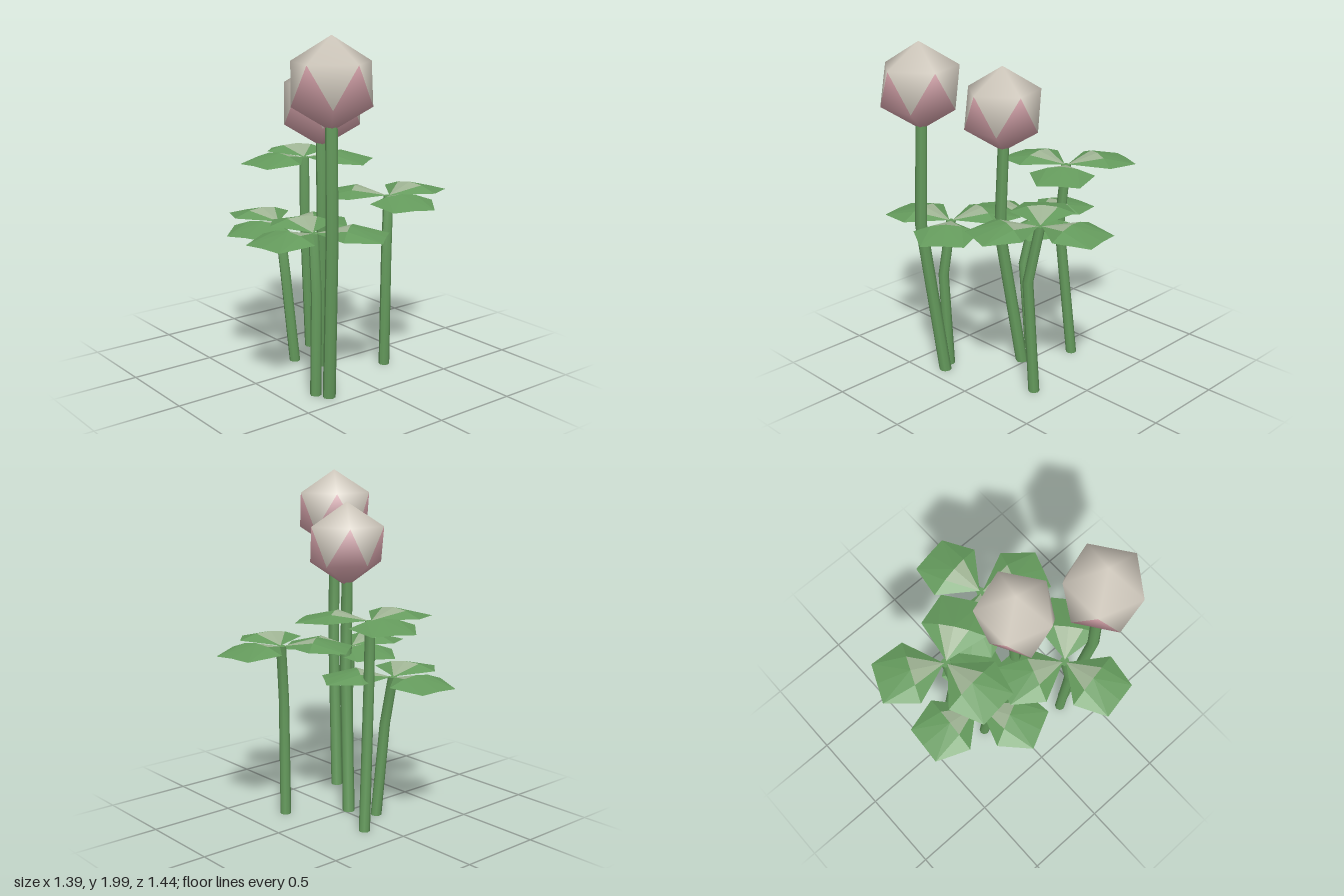
import * as THREE from 'three';

const mat = (name, color, side = THREE.FrontSide) => {
  const m = new THREE.MeshStandardMaterial({ color, side });
  m.name = name;
  return m;
};

function buildGeometry(points, faces) {
  const g = new THREE.BufferGeometry();
  g.setAttribute('position', new THREE.Float32BufferAttribute(points.flat(), 3));
  g.setIndex(faces.flat());
  return g;
}

// Bent stem: an open-ended cylinder whose rings are moved onto base, bend and top
function stemGeometry(path, r) {
  const g = new THREE.CylinderGeometry(r * 0.9, r, 1, 8, 2);
  const p = g.attributes.position;
  for (let i = 0; i < p.count; i++) {
    const [x, y, z] = path[Math.round((p.getY(i) + 0.5) * 2)];
    p.setXYZ(i, p.getX(i) + x, y, p.getZ(i) + z);
  }
  g.computeVertexNormals();
  return g;
}

// Folded leaflet pointing along +x, with a pale patch beside the stem
function leafletGeometries() {
  const hub = [0.01, 0, 0], ridge = [0.2, 0.05, 0], tip = [0.395, -0.003, 0];
  const blade = [], patch = [];
  for (const s of [1, -1]) {
    const inner = [0.2, 0.04, 0.087 * s];
    const side = [0.198, 0.005, 0.187 * s];
    const corner = [0.395, -0.008, 0.12 * s];
    const add = (list, a, b, c) => list.push(...(s > 0 ? [a, b, c] : [a, c, b]));
    add(patch, hub, inner, ridge);
    add(blade, hub, side, inner);
    add(blade, inner, side, corner);
    add(blade, inner, corner, ridge);
    add(blade, ridge, corner, tip);
  }
  return [blade, patch].map((list) => {
    const g = buildGeometry(list, list.map((_, i) => i));
    g.computeVertexNormals();
    return g;
  });
}

// Twenty-sided bud: pink lower petals reach up between the white upper ones
function budGeometry(inset) {
  const R = 0.245, ring = R * 0.894, h = R * 0.447;
  const pts = [[0, R, 0], [0, -R, 0]];
  for (let i = 0; i < 5; i++) {
    const a = (i * 2 * Math.PI) / 5, b = a + Math.PI / 5;
    const r = i === 2 ? ring - inset : ring;
    pts.push([ring * Math.cos(a), h, ring * Math.sin(a)]);
    pts.push([r * Math.cos(b), -h, r * Math.sin(b)]);
  }
  const white = [], pink = [];
  for (let i = 0; i < 5; i++) {
    const j = (i + 1) % 5, prev = (i + 4) % 5;
    const up = 2 + i * 2, upNext = 2 + j * 2, low = 3 + i * 2, lowPrev = 3 + prev * 2;
    white.push([0, upNext, up], [up, upNext, low]);
    pink.push([1, lowPrev, low], [up, low, lowPrev]);
  }
  const g = buildGeometry(pts, [...white, ...pink]);
  g.addGroup(0, 30, 0);
  g.addGroup(30, 30, 1);
  g.computeVertexNormals();
  return g;
}

export function createModel() {
  const model = new THREE.Group();
  model.name = 'cloverPatch';
  const green = mat('stemGreen', 0x649a5c);
  const leafGreen = mat('leafGreen', 0x649a5c, THREE.DoubleSide);
  const paleGreen = mat('paleLeafGreen', 0x9fb494, THREE.DoubleSide);
  const white = mat('petalWhite', 0xd3ccc0);
  const pink = mat('petalPink', 0xcb9ba2);

  const add = (parent, name, geometry, material) => {
    const m = new THREE.Mesh(geometry, material);
    m.name = name;
    parent.add(m);
    return m;
  };

  // Leaf plants: stem path (base, bend, top) and direction of the first leaflet
  const [bladeGeo, patchGeo] = leafletGeometries();
  const plants = [
    { path: [[-0.295, 0.01, -0.11], [-0.25, 0.85, -0.04], [-0.28, 1.22, -0.06]], angle: 84 },
    { path: [[-0.155, 0.01, 0.11], [-0.16, 0.56, 0.17], [-0.24, 0.86, 0.155]], angle: 64 },
    { path: [[0.215, 0.01, -0.28], [0.245, 0.7, -0.26], [0.2, 1.035, -0.31]], angle: 20 },
    { path: [[0.33, 0.01, 0.32], [0.35, 0.6, 0.33], [0.3, 0.93, 0.31]], angle: 79 },
  ];
  for (const { path, angle } of plants) {
    const plant = new THREE.Group();
    plant.name = 'leafPlant';
    model.add(plant);
    add(plant, 'leafStem', stemGeometry(path, 0.032), green);
    for (let i = 0; i < 3; i++) {
      const leaflet = new THREE.Group();
      leaflet.name = 'leaflet';
      leaflet.position.set(...path[2]);
      leaflet.rotation.y = -THREE.MathUtils.degToRad(angle + i * 120);
      add(leaflet, 'leafBlade', bladeGeo, leafGreen);
      add(leaflet, 'leafPatch', patchGeo, paleGreen);
      plant.add(leaflet);
    }
  }

  // Flowers: tall stem and bud
  const flowers = [
    { path: [[0, 0.01, 0.03], [0.108, 0.86, 0.1], [0.085, 1.38, 0.09]], bud: [0.088, 1.595, 0.09], inset: 0.04 },
    { path: [[0.4, 0.01, 0.28], [0.5, 0.95, 0.34], [0.48, 1.54, 0.33]], bud: [0.48, 1.755, 0.33], inset: 0 },
  ];
  for (const { path, bud, inset } of flowers) {
    const flower = new THREE.Group();
    flower.name = 'flower';
    model.add(flower);
    add(flower, 'flowerStem', stemGeometry(path, 0.036), green);
    add(flower, 'flowerBud', budGeometry(inset), [white, pink]).position.set(...bud);
  }
  return model;
}
